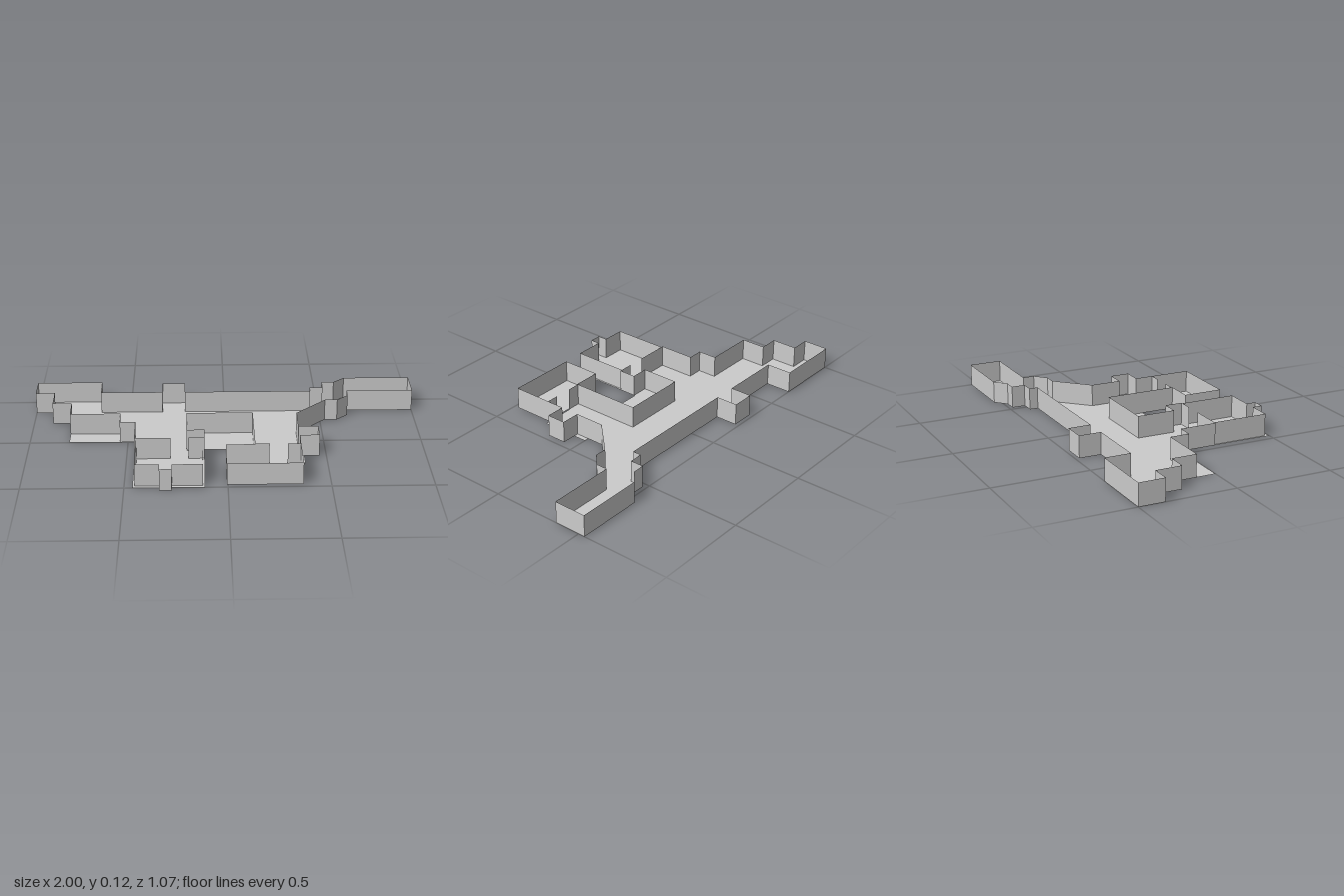
import * as THREE from 'three';

const H = 0.115;

export function createModel() {
  const group = new THREE.Group();
  const material = new THREE.MeshStandardMaterial({
    color: 0xcccccc, flatShading: true, side: THREE.DoubleSide,
  });

  // Thin upright wall following a list of [x, z] corners
  function wall(name, path) {
    const pos = [];
    for (let i = 0; i < path.length - 1; i++) {
      const [ax, az] = path[i], [bx, bz] = path[i + 1];
      pos.push(ax, 0, az, bx, 0, bz, bx, H, bz, ax, 0, az, bx, H, bz, ax, H, az);
    }
    const geo = new THREE.BufferGeometry();
    geo.setAttribute('position', new THREE.Float32BufferAttribute(pos, 3));
    geo.computeVertexNormals();
    const mesh = new THREE.Mesh(geo, material);
    mesh.name = name;
    group.add(mesh);
  }

  // Back edge, from the left wing to the right wing
  const back = [
    [-1, -0.365], [-1, -0.5], [-0.655, -0.5], [-0.655, -0.365], [-0.33, -0.365],
    [-0.33, -0.48], [-0.21, -0.48], [-0.21, -0.365], [0.455, -0.365], [0.455, -0.41],
    [0.525, -0.41], [0.525, -0.48], [0.59, -0.48], [0.65, -0.535], [1, -0.535],
  ];
  // Angled passage under the right wing
  const passage = [
    [1, -0.365], [0.65, -0.365], [0.65, -0.305], [0.59, -0.25], [0.525, -0.25],
    [0.365, -0.09],
  ];
  // Stepped edge under the left wing
  const step = [[-0.8, -0.23], [-0.9, -0.23], [-0.9, -0.365]];

  // Floor slab outline, including the courtyard cut-out
  const outline = [
    ...back, ...passage,
    [0.365, 0], [0.39, 0], [0.39, 0.07], [0.465, 0.07], [0.465, 0.165], [0.39, 0.165],
    [0.39, 0.26], [0.365, 0.26], [0.365, 0.475], [-0.005, 0.475], [-0.005, 0.27],
    [0.14, 0.27], [0.14, 0.095], [-0.11, 0.095], [-0.11, 0.5], [-0.27, 0.5],
    [-0.27, 0.53], [-0.33, 0.53], [-0.33, 0.5], [-0.46, 0.5], [-0.46, 0], [-0.8, 0],
    ...step,
  ];
  const shape = new THREE.Shape(outline.map(([x, z]) => new THREE.Vector2(x, -z)));
  // Narrow seam at the doorway of the right room
  shape.holes.push(new THREE.Path([[0.21, 0.262], [0.3, 0.262], [0.3, 0.268], [0.21, 0.268]]
    .map(([x, z]) => new THREE.Vector2(x, -z))));
  const floor = new THREE.Mesh(new THREE.ShapeGeometry(shape), material);
  floor.rotation.x = -Math.PI / 2;
  floor.name = 'floor';
  group.add(floor);

  // Outer walls
  wall('backWall', back);
  wall('rightWall', [
    [1, -0.535], ...passage, [0.365, 0.07], [0.465, 0.07], [0.465, 0.17],
    [0.365, 0.17], [0.365, 0.475], [-0.005, 0.475], [-0.005, 0.27], [0.14, 0.27],
  ]);
  wall('leftWall', [
    [-1, -0.365], [-0.9, -0.365], [-0.9, -0.23], [-0.8, -0.23], [-0.8, -0.1],
    [-0.54, -0.1], [-0.54, 0], [-0.46, 0], [-0.46, 0.19],
  ]);
  wall('leftRoomWall', [
    [-0.46, 0.19], [-0.45, 0.19], [-0.45, 0.48], [-0.33, 0.48], [-0.33, 0.53],
    [-0.27, 0.53], [-0.27, 0.48], [-0.12, 0.48], [-0.12, 0.19],
  ]);

  // Walls around the courtyard
  wall('courtyardWall', [
    [0.14, 0.27], [0.14, -0.1], [-0.2, -0.1], [-0.2, 0.1], [-0.11, 0.1],
    [-0.11, 0.19], [-0.12, 0.19],
  ]);

  // Partitions beside the room doorways
  wall('leftRoomPartition', [[-0.45, 0.19], [-0.28, 0.19]]);
  wall('leftRoomPartition', [[-0.19, 0.19], [-0.12, 0.19]]);
  wall('rightRoomPartition', [[0.14, 0.265], [0.21, 0.265]]);
  wall('rightRoomPartition', [[0.3, 0.265], [0.365, 0.265]]);

  return group;
}
